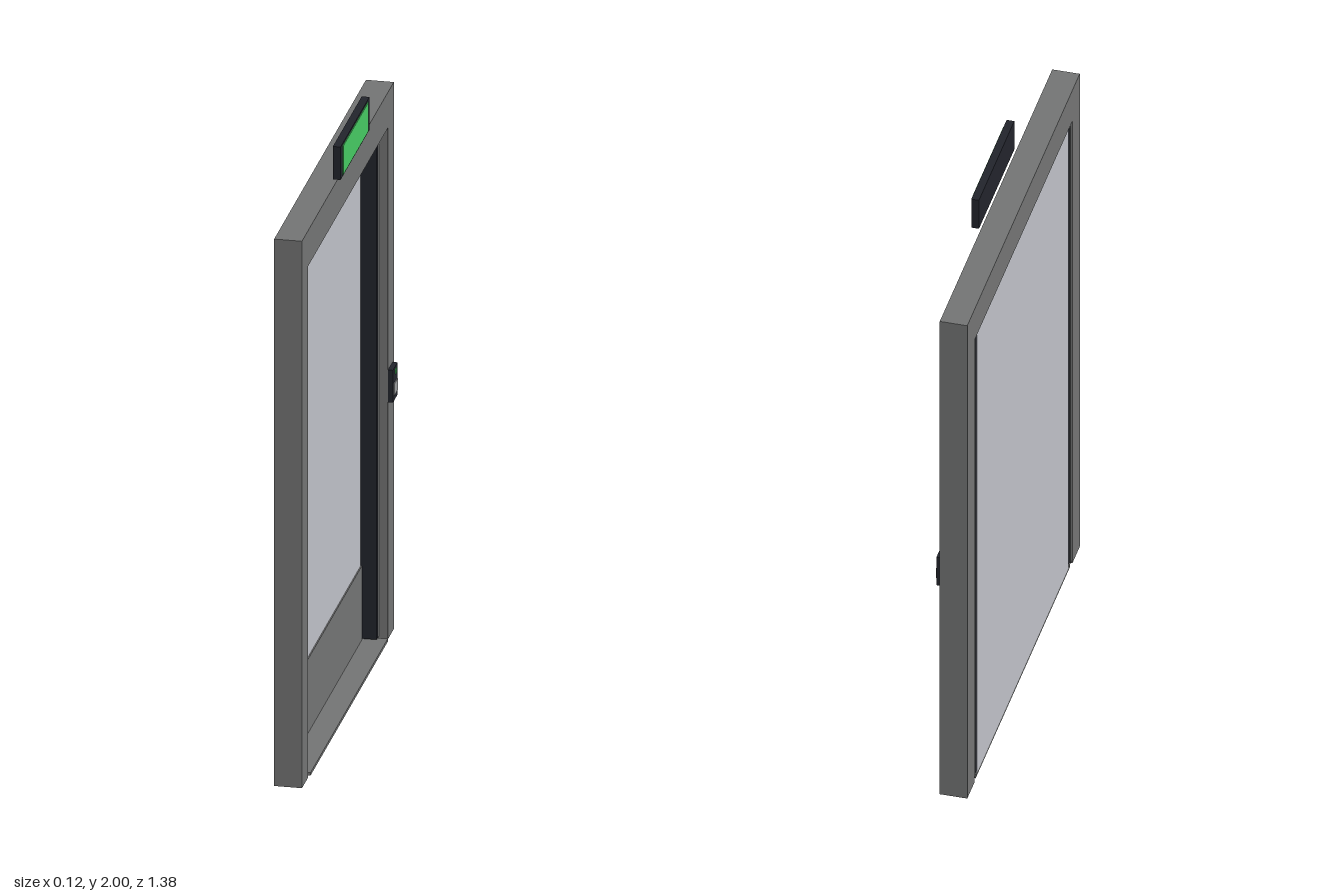
import * as THREE from 'three';

const material = (name, color) => {
  const m = new THREE.MeshStandardMaterial({ color });
  m.name = name;
  return m;
};

export function createModel() {
  const steel = material('steel grey', 0x747575);
  const pale = material('pale panel', 0xc0c2c9);
  const dark = material('dark casing', 0x22242c);
  const green = material('signal green', 0x47cb63);
  const silver = material('silver', 0x9b9d9f);

  const group = new THREE.Group();
  group.name = 'door';

  // Box given by its [min, max] range along each axis
  const box = (name, mat, x, y, z, parent = group) => {
    const geo = new THREE.BoxGeometry(x[1] - x[0], y[1] - y[0], z[1] - z[0]);
    const mesh = new THREE.Mesh(geo, mat);
    mesh.position.set((x[0] + x[1]) / 2, (y[0] + y[1]) / 2, (z[0] + z[1]) / 2);
    mesh.name = name;
    parent.add(mesh);
    return mesh;
  };

  // Door frame: one extruded arch, shape drawn in z/y and extruded along x
  const arch = new THREE.Shape();
  [[-0.69, 0], [-0.6, 0], [-0.6, 1.742], [0.6, 1.742], [0.6, 0], [0.69, 0], [0.69, 1.863], [-0.69, 1.863]]
    .forEach(([z, y], i) => (i ? arch.lineTo(z, y) : arch.moveTo(z, y)));
  arch.closePath();
  const frameGeo = new THREE.ExtrudeGeometry(arch, { depth: 0.09, bevelEnabled: false });
  frameGeo.rotateY(Math.PI / 2);
  frameGeo.translate(-0.06, 0, 0);
  const frame = new THREE.Mesh(frameGeo, steel);
  frame.name = 'frame';
  group.add(frame);

  // Threshold on the floor
  box('threshold', steel, [-0.058, 0.034], [0, 0.01], [-0.58, 0.58]);

  // Door leaf with a kick plate on its front face
  box('doorPanel', pale, [-0.058, -0.048], [0.01, 1.742], [-0.56, 0.56]);
  box('kickPlate', steel, [-0.048, -0.044], [0.01, 0.262], [-0.555, 0.555]);

  // Door stops and dark edge strips, mirrored
  for (const s of [-1, 1]) {
    const span = (a, b) => (s > 0 ? [a, b] : [-b, -a]);
    box('doorStop', steel, [-0.058, 0.002], [0.01, 1.742], span(0.581, 0.6));
    box('edgeStrip', dark, [-0.055, 0.003], [0.014, 1.732], span(0.555, 0.581));
  }

  // Lit sign floating above the header
  const sign = new THREE.Group();
  sign.name = 'sign';
  group.add(sign);
  box('signCase', dark, [0.028, 0.053], [1.888, 2], [-0.217, 0.217], sign);
  box('signPanel', green, [0.053, 0.056], [1.895, 1.993], [-0.19, 0.19], sign);

  // Card reader on the jamb
  const reader = new THREE.Group();
  reader.name = 'cardReader';
  group.add(reader);
  box('readerCase', dark, [0.028, 0.046], [0.807, 0.917], [-0.671, -0.602], reader);
  box('readerPad', silver, [0.046, 0.049], [0.828, 0.867], [-0.662, -0.612], reader);
  box('readerLight', green, [0.046, 0.049], [0.892, 0.908], [-0.65, -0.634], reader);

  return group;
}
